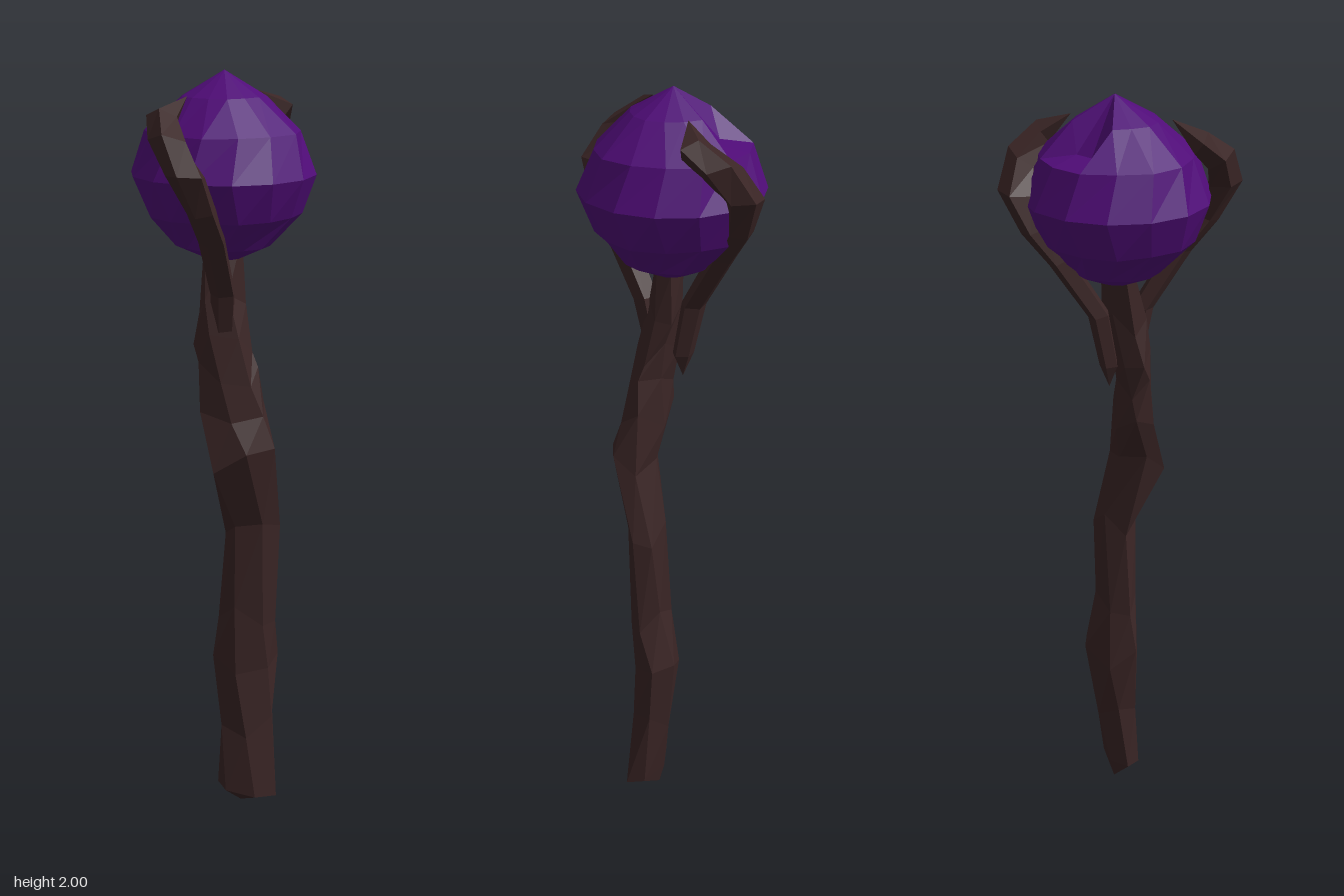
import * as THREE from 'three';

const wood = new THREE.MeshStandardMaterial({ color: 0x3a2525 });
wood.name = 'dark wood';
const crystal = new THREE.MeshStandardMaterial({ color: 0x500c78 });
crystal.name = 'purple crystal';

// Faceted skin over rings of points; a ring holding one point closes an end
function loft(rings, sides) {
  const pos = [];
  const at = (r, j) => r[j % r.length];
  const tri = (a, b, c) => {
    if (a !== b && b !== c && a !== c) pos.push(...a, ...b, ...c);
  };
  for (let i = 0; i + 1 < rings.length; i++) {
    const lo = rings[i], hi = rings[i + 1];
    for (let j = 0; j < sides; j++) {
      const a = at(lo, j), b = at(lo, j + 1), c = at(hi, j), d = at(hi, j + 1);
      tri(a, c, b);
      tri(b, c, d);
    }
  }
  const geo = new THREE.BufferGeometry();
  geo.setAttribute('position', new THREE.Float32BufferAttribute(pos, 3));
  geo.computeVertexNormals();
  return geo;
}

const angles = (n, turn) => Array.from({ length: n }, (_, j) => turn + (j / n) * Math.PI * 2);

// Gnarled shaft: each row is y, xMin, xMax, zMin, zMax
function shaftGeometry() {
  const rows = [
    [0.05, 0, 0.16, -0.05, 0.05],
    [0.24, 0, 0.14, -0.075, 0.04],
    [0.42, -0.01, 0.13, -0.1, 0.045],
    [0.57, 0.005, 0.135, -0.07, 0.04],
    [0.82, 0.02, 0.15, -0.075, 0.04],
    [1.02, 0, 0.165, -0.03, 0.115],
    [1.14, -0.04, 0.135, -0.02, 0.085],
    [1.24, -0.03, 0.105, -0.012, 0.078],
    [1.32, -0.05, 0.085, -0.025, 0.075],
    [1.42, -0.045, 0.06, -0.05, 0.065],
    [1.56, -0.045, 0.05, -0.05, 0.04],
  ];
  const rings = rows.map(([y, x0, x1, z0, z1], i) => {
    const a = angles(6, i * 0.22);
    const xs = a.map((t) => Math.cos(t)), zs = a.map((t) => Math.sin(t - 0.4));
    const mx = Math.max(...xs), mz = Math.max(...zs);
    return a.map((t, j) => [
      (x0 + x1) / 2 + (xs[j] / mx) * (x1 - x0) / 2,
      y + (i === 0 ? -0.012 * xs[j] : 0.03 * Math.sin(j * 2.4 + i * 1.7)),
      (z0 + z1) / 2 + (zs[j] / mz) * (z1 - z0) / 2,
    ]);
  });
  return loft([[[0.05, 0, -0.02]], ...rings, [[0, 1.6, 0]]], 6);
}

// Curling claw: each row is x, y, z, half width, half thickness, tilt
function clawGeometry() {
  const rows = [
    [0.02, 1.31, 0.03, 0.03, 0.025, 0],
    [0.035, 1.45, 0.055, 0.035, 0.028, -0.2],
    [0.055, 1.6, 0.15, 0.037, 0.03, -0.4],
    [0.058, 1.68, 0.21, 0.038, 0.036, -0.3],
    [0.04, 1.77, 0.255, 0.052, 0.046, 0.1],
    [-0.015, 1.845, 0.24, 0.055, 0.042, 0.6],
    [-0.06, 1.895, 0.19, 0.045, 0.032, 1],
  ];
  const rings = rows.map(([x, y, z, w, h, tilt]) => angles(5, Math.PI / 2).map((t) => [
    x + w * Math.cos(t),
    y + h * Math.sin(t) * Math.sin(tilt),
    z + h * Math.sin(t) * Math.cos(tilt),
  ]));
  return loft([[[0.02, 1.25, 0.03]], ...rings, [[-0.03, 1.945, 0.122]]], 5);
}

// Rough-cut orb: each row is y, radius, turn
function orbGeometry() {
  const n = 14;
  const rows = [
    [1.532, 0.05, 0.2],
    [1.565, 0.12, 0.2],
    [1.645, 0.195, 0],
    [1.745, 0.236, 0.1],
    [1.852, 0.195, 0],
    [1.938, 0.105, 0.1],
  ];
  const rings = rows.map(([y, r, turn], i) => angles(n, turn).map((t, j) => {
    const dent = i === 5 && (j === 8 || j === 9);
    const wobble = i === 3 ? 1 : 1 + 0.035 * Math.sin(j * 2.3 + i * 1.9);
    const rr = dent ? 0.115 : r * wobble;
    return [rr * Math.cos(t), dent ? 1.868 : y, -0.01 + rr * Math.sin(t)];
  }));
  return loft([[[0, 1.525, -0.01]], ...rings, [[0, 2, -0.015]]], n);
}

export function createModel() {
  const group = new THREE.Group();
  group.name = 'staff';
  const add = (name, geometry, material) => {
    const mesh = new THREE.Mesh(geometry, material);
    mesh.name = name;
    group.add(mesh);
    return mesh;
  };
  add('shaft', shaftGeometry(), wood);
  add('orb', orbGeometry(), crystal);

  // Two claws, half a turn apart
  const claw = clawGeometry();
  add('frontClaw', claw, wood);
  add('backClaw', claw, wood).rotation.y = Math.PI;
  return group;
}
